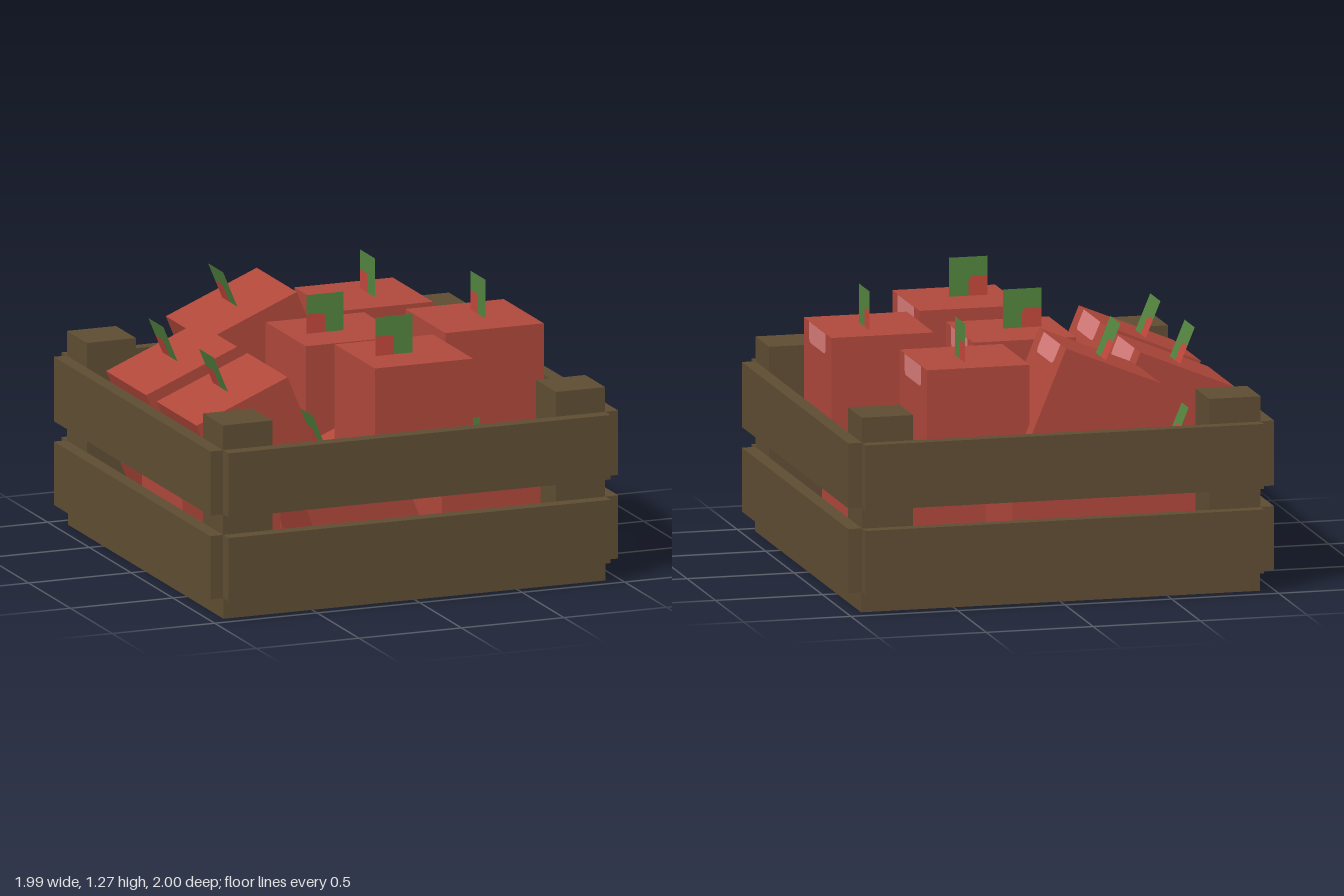
import * as THREE from 'three';

const mat = (name, color, side = THREE.FrontSide) => {
  const m = new THREE.MeshStandardMaterial({ color, side });
  m.name = name;
  return m;
};

export function createModel() {
  const wood = mat('brown wood', 0x5f4d33);
  const red = mat('fruit red', 0xb0483b);
  const pink = mat('shine pink', 0xd87c7a);
  const green = mat('leaf green', 0x54853f, THREE.DoubleSide);
  const stemRed = mat('stem red', 0xc4483c, THREE.DoubleSide);

  const model = new THREE.Group();
  model.name = 'fruitCrate';

  const add = (parent, name, geometry, material) => {
    const mesh = new THREE.Mesh(geometry, material);
    mesh.name = name;
    parent.add(mesh);
    return mesh;
  };

  // Crate: box given by its minimum and maximum corners
  const crate = new THREE.Group();
  crate.name = 'crate';
  model.add(crate);
  const plank = (name, x0, x1, y0, y1, z0, z1) =>
    add(crate, name, new THREE.BoxGeometry(x1 - x0, y1 - y0, z1 - z0), wood)
      .position.set((x0 + x1) / 2, (y0 + y1) / 2, (z0 + z1) / 2);

  plank('base', -0.932, 0.932, 0, 0.095, -0.925, 0.94);
  for (const x of [-0.812, 0.812])
    for (const z of [-0.817, 0.815])
      plank('cornerPost', x - 0.12, x + 0.12, 0.09, 0.9, z - 0.12, z + 0.12);
  for (const [y0, y1] of [[0.095, 0.39], [0.485, 0.785]]) {
    plank('frontSlat', -0.932, 0.932, y0, y1, 0.936, 1);
    plank('backSlat', -0.932, 0.932, y0, y1, -1, -0.944);
    plank('leftSlat', 0.932, 0.995, y0, y1, -0.938, 0.936);
    plank('rightSlat', -0.995, -0.932, y0, y1, -0.938, 0.936);
  }

  // Fruit: cube, shine on its +x face, flat leaf with a red lower quarter
  const S = 0.48, H = S / 2;
  const body = new THREE.BoxGeometry(S, S, S);

  const shineShape = new THREE.Shape();
  shineShape.moveTo(-0.145, 0);
  shineShape.lineTo(-0.145, -0.065);
  shineShape.quadraticCurveTo(-0.145, -0.095, -0.115, -0.095);
  shineShape.lineTo(0.115, -0.095);
  shineShape.quadraticCurveTo(0.145, -0.095, 0.145, -0.065);
  shineShape.lineTo(0.145, 0);
  const shine = new THREE.ShapeGeometry(shineShape, 4);
  shine.rotateY(Math.PI / 2);

  const leafShape = new THREE.Shape();
  leafShape.moveTo(0, 0);
  leafShape.lineTo(0.09, 0);
  leafShape.lineTo(0.09, 0.18);
  leafShape.lineTo(-0.09, 0.18);
  leafShape.lineTo(-0.09, 0.09);
  leafShape.lineTo(-0.025, 0.09);
  leafShape.quadraticCurveTo(0, 0.09, 0, 0.065);
  const leaf = new THREE.ShapeGeometry(leafShape, 4);

  const stemShape = new THREE.Shape();
  stemShape.moveTo(-0.09, 0);
  stemShape.lineTo(0, 0);
  stemShape.lineTo(0, 0.065);
  stemShape.quadraticCurveTo(0, 0.09, -0.025, 0.09);
  stemShape.lineTo(-0.09, 0.09);
  const stem = new THREE.ShapeGeometry(stemShape, 4);

  // kind: 'side' leaf faces x, 'front' leaf faces z, 'tilted' leans towards -x
  const fruit = (x, y, z, kind) => {
    const g = new THREE.Group();
    g.name = 'cubeFruit';
    g.position.set(x, y, z);
    add(g, 'fruitBody', body, red);
    add(g, 'shine', shine, pink).position.set(H + 0.002, H, 0);
    const top = new THREE.Group();
    top.name = 'leafAndStem';
    add(top, 'leaf', leaf, green);
    add(top, 'stem', stem, stemRed);
    if (kind === 'front') top.position.set(-0.06, H, 0.03);
    else {
      top.position.set(kind === 'tilted' ? 0.005 : 0.03, H, -0.03);
      top.rotation.y = -Math.PI / 2;
    }
    g.add(top);
    if (kind === 'tilted') g.rotation.z = Math.PI / 8;
    model.add(g);
  };

  // Lower layer
  fruit(0.39, 0.332, 0.66, 'front');
  fruit(0.45, 0.332, 0.15, 'side');
  fruit(0.51, 0.332, -0.39, 'side');
  fruit(-0.03, 0.332, -0.63, 'side');
  fruit(-0.09, 0.332, -0.09, 'side');
  fruit(-0.665, 0.332, 0.14, 'side');
  fruit(-0.155, 0.39, 0.425, 'tilted');
  fruit(-0.545, 0.39, -0.42, 'tilted');

  // Upper layer
  fruit(0.06, 0.846, 0.665, 'front');
  fruit(0.6, 0.846, 0.185, 'side');
  fruit(-0.03, 0.816, 0.06, 'front');
  fruit(0.33, 0.816, -0.48, 'side');
  fruit(-0.638, 0.707, 0.426, 'tilted');
  fruit(-0.638, 0.707, -0.178, 'tilted');
  fruit(-0.187, 0.827, -0.57, 'tilted');

  return model;
}
